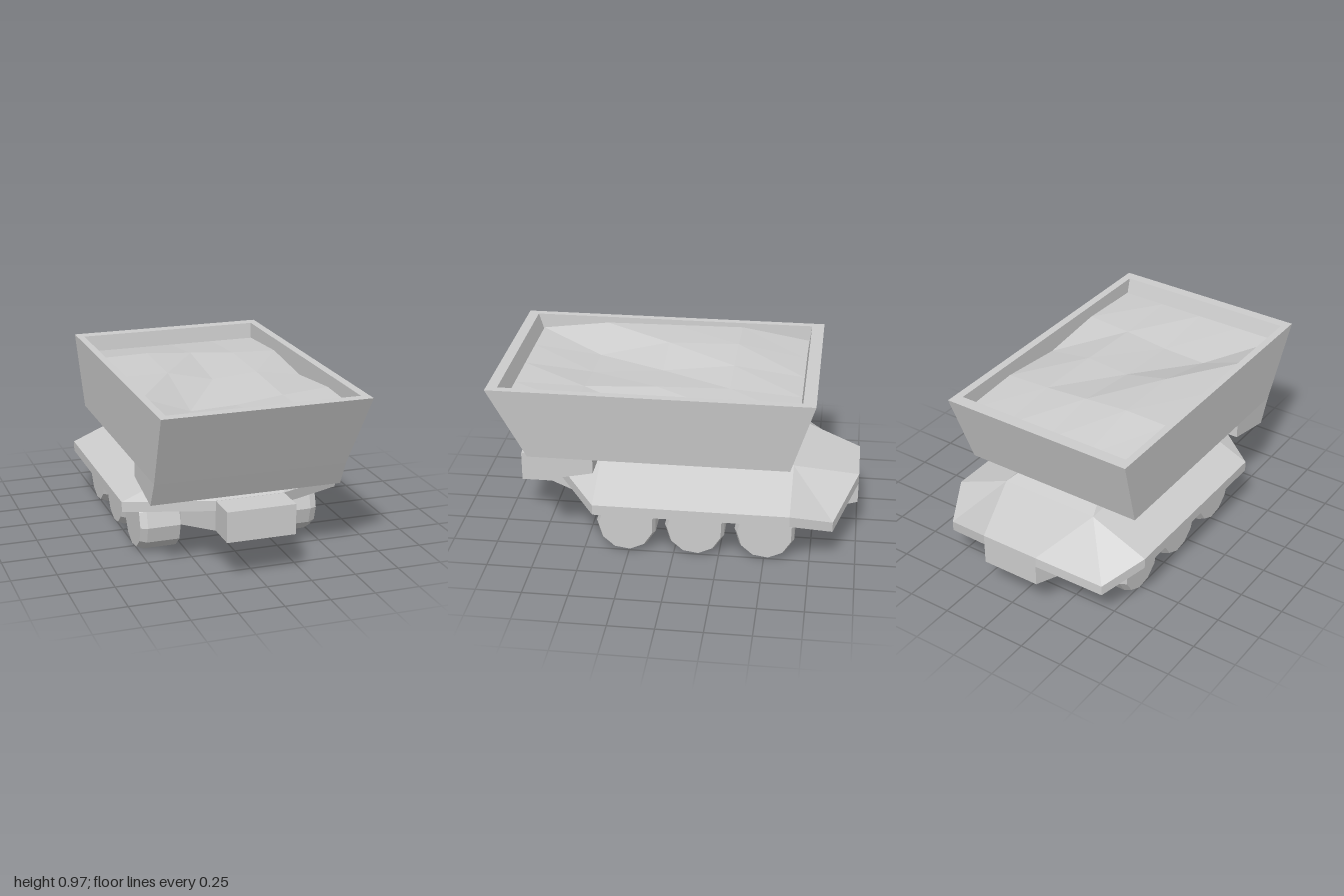
import * as THREE from 'three';

const grey = new THREE.MeshStandardMaterial({ color: 0xcccccc });
grey.name = 'plain grey';

// Joins rings of points from bottom to top; each ring runs anticlockwise seen from above
function loft(rings, capBottom = true, capTop = true) {
  const pos = [];
  const n = rings[0].length;
  const quad = (a, b, c, d) => pos.push(...a, ...b, ...c, ...a, ...c, ...d);
  for (let r = 0; r < rings.length - 1; r++) {
    const lo = rings[r], hi = rings[r + 1];
    for (let i = 0; i < n; i++) {
      const j = (i + 1) % n;
      quad(lo[i], lo[j], hi[j], hi[i]);
    }
  }
  const cap = (ring, up) => {
    for (let k = 0; k < n / 2 - 1; k++) {
      const q = [ring[k], ring[k + 1], ring[n - 2 - k], ring[n - 1 - k]];
      quad(...(up ? q : q.reverse()));
    }
  };
  if (capBottom) cap(rings[0], false);
  if (capTop) cap(rings[rings.length - 1], true);
  const g = new THREE.BufferGeometry();
  g.setAttribute('position', new THREE.Float32BufferAttribute(pos, 3));
  g.computeVertexNormals();
  return g;
}

// Mirrors a front-to-rear half outline into a full ring
const mirror = (half) => [...half, ...half.slice().reverse().map(([x, y, z]) => [-x, y, z])];

// Rectangle ring; the front and rear edges may differ in height
const rect = (x0, x1, z0, z1, yFront, yRear = yFront) =>
  [[x1, yFront, z1], [x1, yRear, z0], [x0, yRear, z0], [x0, yFront, z1]];

export function createModel() {
  const model = new THREE.Group();
  model.name = 'dumpTruck';
  const add = (name, geometry) => {
    const mesh = new THREE.Mesh(geometry, grey);
    mesh.name = name;
    model.add(mesh);
    return mesh;
  };

  // Lower hull between the wheels
  const hullBottom = mirror([[.19, .238, .74], [.29, .169, .43], [.29, .169, -.64], [.29, .169, -.64], [.17, .208, -1]]);
  const hullTop = mirror([[.19, .35, .74], [.29, .335, .43], [.29, .335, -.64], [.29, .335, -.64], [.17, .327, -1]]);
  add('hull', loft([hullBottom, hullTop], true, false));

  // Overhanging deck: underside, rim, sloping top and raised plateau
  const rim = (drop) => mirror([[.19, .408, .74], [.62, .34, .43], [.62, .34, -.64], [.5, .255, -.87], [.17, .385, -1]]
    .map(([x, y, z]) => [x, y - drop, z]));
  const front = [.29, .48, .43], rear = [.29, .48, -.64];
  const topFront = [.2, .555, .33], topRear = [.2, .555, -.38];
  add('deck', loft([
    hullTop, rim(.058), rim(0),
    mirror([[.19, .408, .74], front, rear, rear, [.17, .385, -1]]),
    mirror([front, front, rear, rear, rear]),
    mirror([topFront, topFront, topRear, topRear, topRear]),
  ], false, true));

  // Nose block
  add('noseBlock', loft([rect(-.193, .189, .7, .915, .238), rect(-.193, .189, .7, .915, .407)]));

  // Open hopper with thick walls
  add('hopper', loft([
    rect(-.548, .516, -.63, .8, .56),
    rect(-.568, .568, -.755, 1, .97),
    rect(-.527, .523, -.685, .94, .97),
    rect(-.517, .517, -.665, .885, .8),
  ]));

  // Chute under the front of the hopper
  add('chute', loft([rect(-.548, .516, .44, .73, .42, .48), rect(-.548, .516, .44, .8, .56)]));

  // Uneven load
  const xs = [-.523, -.26, 0, .26, .52];
  const zs = [-.67, -.28, .12, .52, .908];
  const heights = [
    [.88, .88, .88, .88, .88],
    [.945, .95, .93, .91, .90],
    [.94, .94, .88, .90, .86],
    [.935, .84, .85, .88, .90],
    [.885, .885, .885, .885, .885],
  ];
  const plane = new THREE.PlaneGeometry(1, 1, 4, 4);
  const p = plane.attributes.position;
  for (let i = 0; i < p.count; i++) {
    const c = i % 5, r = Math.floor(i / 5);
    p.setXYZ(i, xs[c], heights[r][c], zs[r]);
  }
  const load = plane.toNonIndexed();
  load.computeVertexNormals();
  add('load', load);

  // Six faceted wheels with a bevelled outer edge, one corner resting just behind the axle
  const profile = [[0, .29], [.168, .29], [.168, .475], [.152, .514], [0, .514]]
    .map(([r, h]) => new THREE.Vector2(r, h));
  const tilt = THREE.MathUtils.degToRad(8);
  for (const side of [1, -1]) {
    const geometry = new THREE.LatheGeometry(profile, 11, Math.PI / 2 + side * tilt).toNonIndexed();
    geometry.rotateZ(-Math.PI / 2);
    if (side < 0) geometry.rotateY(Math.PI);
    geometry.computeVertexNormals();
    ['front', 'middle', 'rear'].forEach((place, i) => {
      const wheel = add(`${place}Wheel${side > 0 ? 'Left' : 'Right'}`, geometry);
      wheel.position.set(0, .167, [.264, -.117, -.503][i]);
    });
  }
  return model;
}
